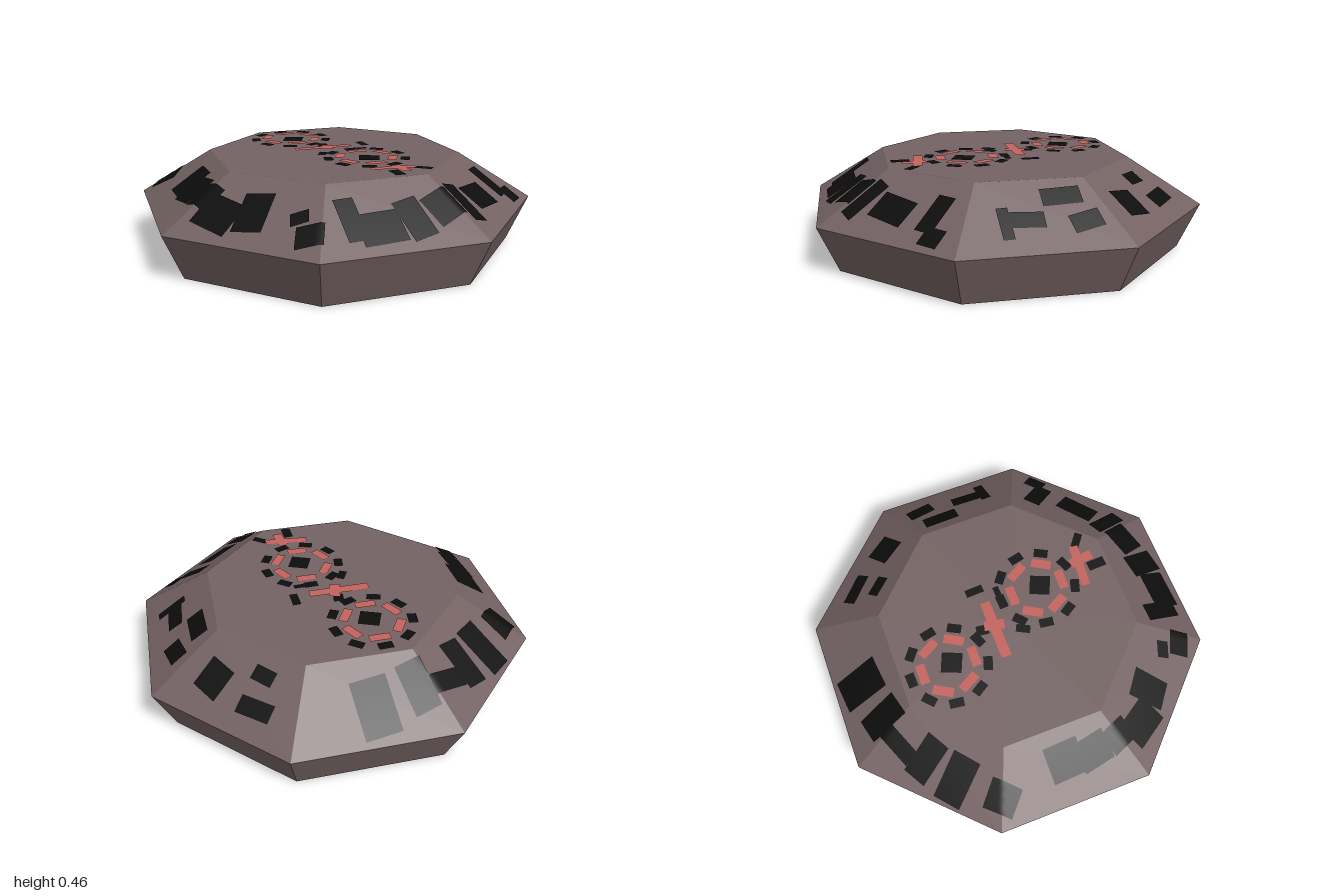
import * as THREE from 'three';
import { mergeGeometries } from 'three/addons/utils/BufferGeometryUtils.js';

const SIDES = 8, RIM_R = 1, TOP_R = 0.635, RIM_Y = 0.225, TOP_Y = 0.45;

// Height of the faceted upper surface above a plan position
function surfaceY(x, z) {
  let reach = 0;
  for (let i = 0; i < SIDES; i++) {
    const a = (i + 0.5) * Math.PI * 2 / SIDES;
    reach = Math.max(reach, x * Math.cos(a) + z * Math.sin(a));
  }
  const c = Math.cos(Math.PI / SIDES);
  const t = (reach - TOP_R * c) / ((RIM_R - TOP_R) * c);
  return TOP_Y - (TOP_Y - RIM_Y) * Math.max(0, t);
}

// Thin painted dash draped on the surface: centre, length, width, angle in degrees
function dash([x, z, length, width, angle = 0], lift = 0.005) {
  const g = new THREE.PlaneGeometry(length, width, Math.ceil(length / 0.02), Math.ceil(width / 0.02));
  g.rotateX(-Math.PI / 2).rotateY(-THREE.MathUtils.degToRad(angle)).translate(x, 0, z);
  const p = g.attributes.position;
  for (let i = 0; i < p.count; i++) p.setY(i, surfaceY(p.getX(i), p.getZ(i)) + lift);
  g.computeVertexNormals();
  return g;
}

// Ring of dashes around a centre
function ring(x, z, radius, count, length, width, start = 0) {
  return Array.from({ length: count }, (_, i) => {
    const a = start + i * Math.PI * 2 / count;
    return [x + radius * Math.cos(a), z + radius * Math.sin(a), length, width, THREE.MathUtils.radToDeg(a) + 90];
  });
}

export function createModel() {
  const stone = new THREE.MeshStandardMaterial({ color: 0x746263 });
  stone.name = 'stone';
  const black = new THREE.MeshStandardMaterial({ color: 0x0d0d0d });
  black.name = 'black paint';
  const red = new THREE.MeshStandardMaterial({ color: 0xc4625c });
  red.name = 'red paint';

  const model = new THREE.Group();
  model.name = 'octagonalPlinth';
  const add = (name, geometry, material) => {
    const mesh = new THREE.Mesh(geometry, material);
    mesh.name = name;
    model.add(mesh);
  };
  const paint = (name, marks, material, lift) =>
    add(name, mergeGeometries(marks.map(m => dash(m, lift))), material);

  // Faceted body
  const profile = [[0, 0], [0.9, 0], [RIM_R, RIM_Y], [TOP_R, TOP_Y], [0, TOP_Y]]
    .map(([r, y]) => new THREE.Vector2(r, y));
  const body = new THREE.LatheGeometry(profile, SIDES).toNonIndexed();
  body.computeVertexNormals();
  add('body', body, stone);

  // Abstract dashes around the sloping border
  paint('leftBorder', [
    [-0.73, -0.28, 0.22, 0.17, 16], [-0.76, -0.07, 0.2, 0.13, 8], [-0.79, 0.07, 0.08, 0.2],
    [-0.74, 0.22, 0.2, 0.12, -8], [-0.7, 0.39, 0.22, 0.14, -18], [-0.6, 0.6, 0.14, 0.15, -25],
  ], black);
  paint('frontBorder', [
    [-0.27, 0.68, 0.17, 0.16, 20], [-0.14, 0.74, 0.16, 0.14, 12], [0, 0.77, 0.14, 0.12],
    [0.14, 0.8, 0.2, 0.15, -10], [0.28, 0.71, 0.14, 0.18, -30],
    [0.48, 0.62, 0.06, 0.08, 40], [0.58, 0.65, 0.12, 0.1, -45],
  ], black);
  paint('rightBorder', [
    [0.63, 0.47, 0.19, 0.09, 20], [0.72, 0.38, 0.14, 0.2, 20], [0.76, 0.22, 0.18, 0.12, 10],
    [0.78, 0.06, 0.14, 0.16], [0.79, -0.07, 0.2, 0.08], [0.74, -0.24, 0.12, 0.2, -15],
    [0.64, -0.44, 0.17, 0.09, -20], [0.71, -0.53, 0.08, 0.1, -20],
  ], black);
  paint('backBorder', [
    [-0.42, -0.7, 0.17, 0.07, -25], [-0.34, -0.6, 0.11, 0.06, -20], [-0.17, -0.76, 0.14, 0.13, -10],
    [0.12, -0.81, 0.14, 0.08, 10], [0.15, -0.67, 0.18, 0.08, 20],
    [0.36, -0.69, 0.18, 0.07, 25], [0.44, -0.67, 0.05, 0.14, 20],
  ], black);

  // Two broken-ring rosettes with slanted dashes between and beside them
  const rosettes = [[-0.37, -0.02], [0.22, -0.02]];
  paint('rosetteBlack', [
    ...rosettes.flatMap(([x, z]) => [
      [x + 0.02, z, 0.1, 0.1, 45], ...ring(x, z, 0.19, 9, 0.07, 0.045),
    ]),
    [-0.02, -0.22, 0.09, 0.04, 20], [0.05, -0.11, 0.12, 0.03, 110], [-0.13, -0.04, 0.06, 0.05, 30],
    [0.02, 0.09, 0.07, 0.04, 50], [0.55, -0.07, 0.08, 0.04, -30], [0.53, 0.09, 0.09, 0.05, 20],
  ], black, 0.004);
  paint('rosetteRed', [
    ...rosettes.flatMap(([x, z]) => ring(x, z, 0.13, 6, 0.1, 0.045, 0.4)),
    [-0.08, 0.0, 0.3, 0.05, 112], [-0.07, -0.02, 0.1, 0.05, 35],
    [0.46, 0.04, 0.22, 0.045, 118], [0.49, 0.02, 0.12, 0.05, 15],
  ], red, 0.006);

  return model;
}
